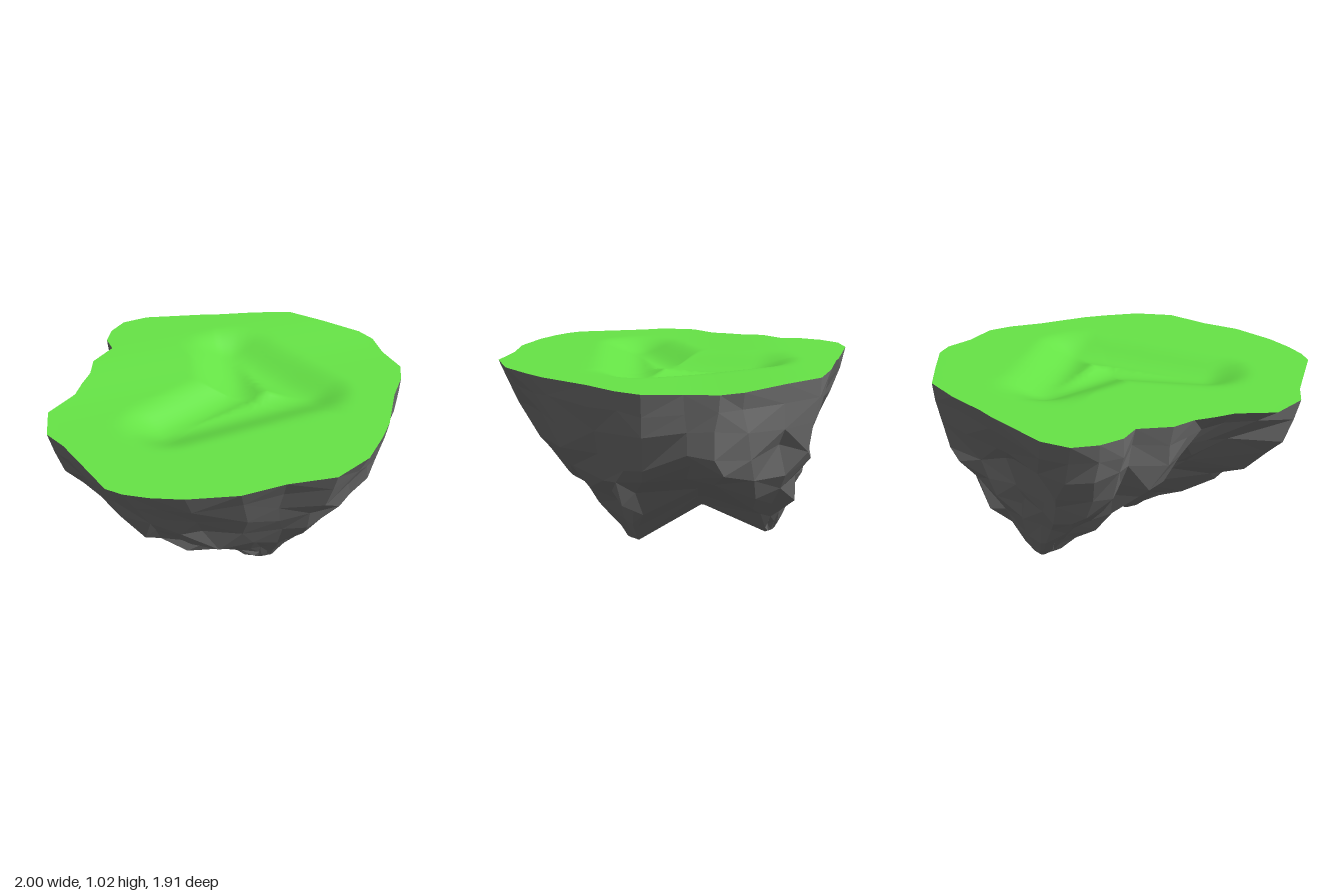
import * as THREE from 'three';
import { mergeVertices } from 'three/addons/utils/BufferGeometryUtils.js';

const { lerp, smoothstep, clamp } = THREE.MathUtils;

// Plan of the rim as x, z pairs, clockwise seen from above
const PLAN = [
  -0.3, -0.945, -0.15, -0.96, 0.2, -0.86, 0.28, -0.83, 0.5, -0.77, 0.7, -0.69, 0.83, -0.51, 0.97, -0.31,
  1, -0.2, 0.97, -0.04, 0.97, 0.15, 0.9, 0.27, 0.77, 0.41, 0.6, 0.64, 0.5, 0.74, 0.35, 0.87,
  0.14, 0.95, -0.1, 0.91, -0.32, 0.91, -0.56, 0.84, -0.7, 0.77, -0.8, 0.7, -0.86, 0.63, -0.91, 0.4,
  -0.95, 0.22, -1, 0.09, -0.95, -0.11, -0.78, -0.23, -0.72, -0.32, -0.65, -0.41, -0.6, -0.53, -0.46, -0.64,
  -0.46, -0.75, -0.4, -0.86,
];
const PEAKS = [new THREE.Vector2(0.15, 0.21), new THREE.Vector2(0.2, -0.51)];
// Underside profile: height fraction, reach on most sides, reach at the steep back
const PROFILE = [
  [1, 1, 1], [0.9, 0.975, 0.9], [0.77, 0.94, 0.74], [0.64, 0.87, 0.55], [0.52, 0.77, 0.48],
  [0.4, 0.61, 0.42], [0.28, 0.45, 0.36], [0.16, 0.28, 0.28], [0.06, 0.17, 0.2], [0, 0.09, 0.12], [0, 0, 0],
];

function hash(i, j, k) {
  const s = Math.sin(i * 127.1 + j * 311.7 + k * 74.7) * 43758.5453;
  return (s - Math.floor(s)) * 2 - 1;
}

// Position along the segment a-b (0 to 1) nearest to p
function along(p, a, b) {
  const d = b.clone().sub(a);
  return clamp(p.clone().sub(a).dot(d) / d.lengthSq(), 0, 1);
}

// Joins closed rings of points into a surface
function loft(rings, mixDiagonals) {
  const n = rings[0].length;
  const pos = [];
  const tri = (...pts) => pts.forEach((p) => pos.push(p.x, p.y, p.z));
  for (let i = 0; i < rings.length - 1; i++) {
    for (let j = 0; j < n; j++) {
      const k = (j + 1) % n;
      const [a, b, c, d] = [rings[i][j], rings[i][k], rings[i + 1][j], rings[i + 1][k]];
      if (mixDiagonals && hash(i, j, 9) > 0) {
        tri(a, b, c);
        tri(b, d, c);
      } else {
        tri(a, b, d);
        tri(a, d, c);
      }
    }
  }
  const geo = new THREE.BufferGeometry();
  geo.setAttribute('position', new THREE.Float32BufferAttribute(pos, 3));
  return geo;
}

// Ground height: nearly level, rising a little to the back
const level = (z) => 1.002 + 0.022 * smoothstep(-z, 0, 0.65);

// Shallow three-cornered hollow in the ground, measured from its closed floor line
const HOLLOW = [[-0.42, 0.22], [0.05, 0.04], [0.19, -0.4], [0.37, 0.18]].map((c) => new THREE.Vector2(...c));
function hollow(x, z) {
  const p = new THREE.Vector2(x, z);
  const dist = Math.min(...HOLLOW.map((a, i) => {
    const b = HOLLOW[(i + 1) % HOLLOW.length];
    return p.distanceTo(a.clone().lerp(b, along(p, a, b)));
  }));
  return -0.07 * (1 - smoothstep(dist, 0, 0.26));
}

function rimPoints() {
  const rim = [];
  for (let i = 0; i < PLAN.length; i += 2) {
    rim.push(new THREE.Vector3(PLAN[i], level(PLAN[i + 1]), PLAN[i + 1]));
  }
  return rim;
}

function rockGeometry(rim) {
  const rings = PROFILE.map(([t, side, back], i) => rim.map((r, j) => {
    // Each column runs from the rim in to a peak or to the saddle halfway between
    const p = new THREE.Vector2(r.x, r.z);
    const s = Math.round(2 * along(p, PEAKS[0], PEAKS[1])) / 2;
    const foot = PEAKS[0].clone().lerp(PEAKS[1], s);
    const saddle = 1 - Math.abs(2 * s - 1);
    const bottom = 0.07 * s + 0.185 * saddle;
    const dir = p.clone().sub(foot).normalize();
    const backness = s === 1 ? smoothstep(-dir.y, 0.35, 0.95) : 0;
    const belly = Math.sin(Math.PI * t);
    let f = lerp(side, back, backness);
    // Fuller flank on the left, slimmer front, valley on the right
    f += belly * ((0.05 + 0.12 * saddle) * Math.max(0, dir.x) - 0.1 * Math.max(0, dir.y));
    if (r.x < 0) f *= 1 - 0.18 * saddle * belly;
    // Gullies and broken facets, fading out at the rim and the tips
    const rough = i === 0 || f < 0.15 ? 0 : Math.sin(Math.PI * clamp(t, 0.12, 0.88));
    f = Math.min(1, f + rough * (0.035 * hash(j, 3, 1) + 0.03 * hash(i, j, 2) - 0.01));
    const slide = rough * 0.035 * hash(i, j, 4);
    return new THREE.Vector3(
      lerp(foot.x, r.x, f) - dir.y * slide,
      lerp(bottom, r.y, t) + rough * 0.04 * hash(i, j, 5),
      lerp(foot.y, r.z, f) + dir.x * slide,
    );
  }));
  const geo = loft(rings, true);
  geo.computeVertexNormals();
  return geo;
}

function grassGeometry(rim) {
  // Rim divided finer so the hollow comes out smooth
  const fine = rim.flatMap((p, i) => [0, 1 / 3, 2 / 3].map((t) => p.clone().lerp(rim[(i + 1) % rim.length], t)));
  const steps = 32;
  const rings = [];
  for (let i = 0; i <= steps; i++) {
    const f = i / steps;
    rings.push(fine.map((p) => {
      if (i === steps) return p;
      const x = p.x * f, z = p.z * f;
      return new THREE.Vector3(x, level(z) + hollow(x, z), z);
    }));
  }
  const geo = mergeVertices(loft(rings, false));
  geo.computeVertexNormals();
  return geo;
}

export function createModel() {
  const group = new THREE.Group();
  group.name = 'floatingIsland';
  const rim = rimPoints();

  const rock = new THREE.Mesh(
    rockGeometry(rim),
    new THREE.MeshStandardMaterial({ color: 0x6e6e6e, flatShading: true }),
  );
  rock.name = 'rock';

  const grass = new THREE.Mesh(
    grassGeometry(rim),
    new THREE.MeshStandardMaterial({ color: 0x66e446, side: THREE.DoubleSide }),
  );
  grass.name = 'grass';

  group.add(rock, grass);
  return group;
}
